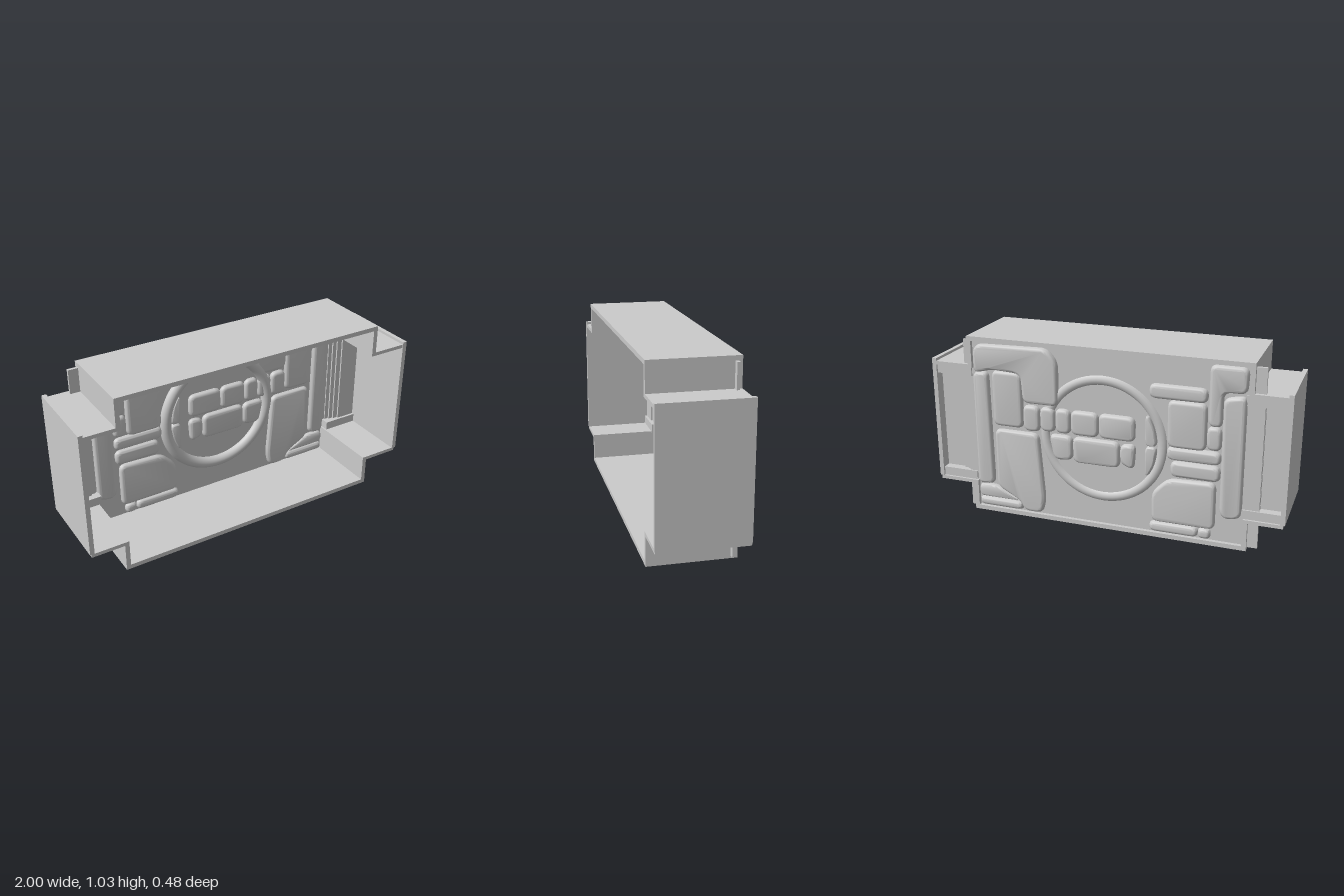
import * as THREE from 'three';
import { toCreasedNormals } from 'three/addons/utils/BufferGeometryUtils.js';

const material = new THREE.MeshStandardMaterial({ color: 0xcccccc });
const PANEL_Z = -0.205;

function add(parent, name, geometry) {
  const mesh = new THREE.Mesh(geometry, material);
  mesh.name = name;
  parent.add(mesh);
  return mesh;
}

// Box given by its limits on each axis
function box(parent, name, x0, x1, y0, y1, z0, z1) {
  const mesh = add(parent, name, new THREE.BoxGeometry(x1 - x0, y1 - y0, z1 - z0));
  mesh.position.set((x0 + x1) / 2, (y0 + y1) / 2, (z0 + z1) / 2);
}

// Plus-shaped outline: a main rectangle with a lower, wider one across it
function crossPoints(xl, xr, y0, y1, xe, ye0, ye1) {
  return [[xl, y0], [xr, y0], [xr, ye0], [xe, ye0], [xe, ye1], [xr, ye1],
    [xr, y1], [xl, y1], [xl, ye1], [-xe, ye1], [-xe, ye0], [xl, ye0]]
    .map(([x, y]) => new THREE.Vector2(x, y));
}

// Closed shape with rounded corners
function roundedShape(points, radius) {
  const p = points.map(([x, y]) => new THREE.Vector2(x, y));
  const shape = new THREE.Shape();
  p.forEach((c, i) => {
    const toward = (q) => c.clone().lerp(q, Math.min(radius / c.distanceTo(q), 0.42));
    const a = toward(p[(i + p.length - 1) % p.length]);
    const b = toward(p[(i + 1) % p.length]);
    if (i === 0) shape.moveTo(a.x, a.y); else shape.lineTo(a.x, a.y);
    shape.quadraticCurveTo(c.x, c.y, b.x, b.y);
  });
  shape.closePath();
  return shape;
}

// Pillow-like stone that bulges from both faces of the panel
function stone(parent, points, bevel = 0.02) {
  const geometry = new THREE.ExtrudeGeometry(roundedShape(points, 0.04), {
    depth: 0.016, bevelThickness: 0.025, bevelSize: bevel, bevelOffset: -bevel,
    bevelSegments: 5, curveSegments: 5,
  });
  geometry.translate(0, 0, PANEL_Z - 0.008);
  add(parent, 'stone', toCreasedNormals(geometry, 0.9));
}

const rect = (x0, x1, y0, y1) => [[x0, y0], [x1, y0], [x1, y1], [x0, y1]];

export function createModel() {
  const group = new THREE.Group();
  group.name = 'stonePanelBox';

  // Open shell
  const outline = new THREE.Shape(crossPoints(-0.805, 0.78, 0, 1.03, 0.99, 0.16, 0.87));
  outline.holes.push(new THREE.Path(crossPoints(-0.78, 0.755, 0.025, 1.005, 0.975, 0.18, 0.85).reverse()));
  const shell = new THREE.ExtrudeGeometry(outline, { depth: 0.468, bevelEnabled: false });
  shell.translate(0, 0, -0.234);
  add(group, 'shell', shell);

  // Back panel, slightly wider than the main box
  box(group, 'backPanel', -0.86, 0.81, 0.015, 1.005, PANEL_Z - 0.008, PANEL_Z + 0.008);

  // End walls, recessed side panels, stepped strips and crossbars
  for (const s of [-1, 1]) {
    const side = (name, a, b, y0, y1, z0, z1) =>
      box(group, name, Math.min(s * a, s * b), Math.max(s * a, s * b), y0, y1, z0, z1);
    side('endWall', 0.975, 1, 0.18, 0.885, -0.234, 0.238);
    side('sidePanel', 0.86, 0.98, 0.17, 0.86, -0.175, -0.16);
    side('strip', 0.83, 0.86, 0.17, 0.86, -0.19, -0.17);
    side('strip', 0.805, 0.83, 0.17, 0.86, -0.2, -0.18);
    side('strip', 0.78, 0.805, 0.17, 0.86, -0.21, -0.19);
    side('lowerCrossbar', 0.765, 0.98, 0.175, 0.23, -0.222, -0.145);
    side('upperCrossbar', 0.765, 0.98, 0.8, 0.855, -0.222, -0.145);
  }

  // Ring on the front of the panel
  const ring = add(group, 'ring', new THREE.TorusGeometry(0.333, 0.033, 16, 72));
  ring.position.set(0, 0.52, PANEL_Z + 0.012);

  // Rectangular stones: x limits, then y limits
  const stones = new THREE.Group();
  stones.name = 'stones';
  group.add(stones);
  [
    [0.46, 0.64, 0.53, 0.85], [0.36, 0.46, 0.52, 0.67], [0.48, 0.75, 0.03, 0.085],
    [-0.185, 0.02, 0.53, 0.67], [0.02, 0.18, 0.53, 0.67], [0.18, 0.27, 0.53, 0.67],
    [0.27, 0.36, 0.53, 0.67], [-0.1, 0.17, 0.37, 0.52],
    [-0.57, -0.26, 0.79, 0.87], [-0.57, -0.36, 0.53, 0.79], [-0.65, -0.57, 0.54, 0.67],
    [-0.65, -0.36, 0.46, 0.535], [-0.65, -0.38, 0.365, 0.455],
    [-0.61, -0.54, 0.03, 0.09], [-0.54, -0.27, 0.03, 0.09],
  ].forEach((r) => stone(stones, rect(...r)));

  // Irregular stones
  [
    [[0.25, 0.68], [0.46, 0.68], [0.47, 0.84], [0.64, 0.85], [0.75, 0.82], [0.75, 0.95], [0.72, 0.99], [0.31, 1], [0.25, 0.93]],
    [[0.65, 0.17], [0.755, 0.16], [0.755, 0.83], [0.66, 0.84]],
    [[0.36, 0.03], [0.47, 0.03], [0.5, 0.09], [0.635, 0.16], [0.635, 0.51], [0.37, 0.51], [0.34, 0.12]],
    [[0.17, 0.38], [0.28, 0.37], [0.31, 0.52], [0.17, 0.52]],
    [[-0.18, 0.37], [-0.1, 0.4], [-0.1, 0.51], [-0.19, 0.52]],
    [[-0.77, 0.86], [-0.65, 0.86], [-0.65, 0.67], [-0.575, 0.67], [-0.575, 1], [-0.775, 1]],
    [[-0.77, 0.18], [-0.69, 0.16], [-0.65, 0.19], [-0.65, 0.83], [-0.77, 0.855]],
    [[-0.63, 0.09], [-0.28, 0.09], [-0.28, 0.26], [-0.37, 0.35], [-0.63, 0.36]],
  ].forEach((points) => stone(stones, points));

  // Thin wedge and the two halves of the crescent
  stone(stones, [[0.48, 0.085], [0.75, 0.085], [0.75, 0.165], [0.63, 0.165]], 0.012);
  for (const s of [-1, 1]) {
    const half = [[-0.31, 0], [-0.24, 0], [-0.24, 0.17], [-0.265, 0.165], [-0.295, 0.1]];
    stone(stones, half.map(([x, y]) => [x, 0.52 + s * y]), 0.01);
  }
  return group;
}
